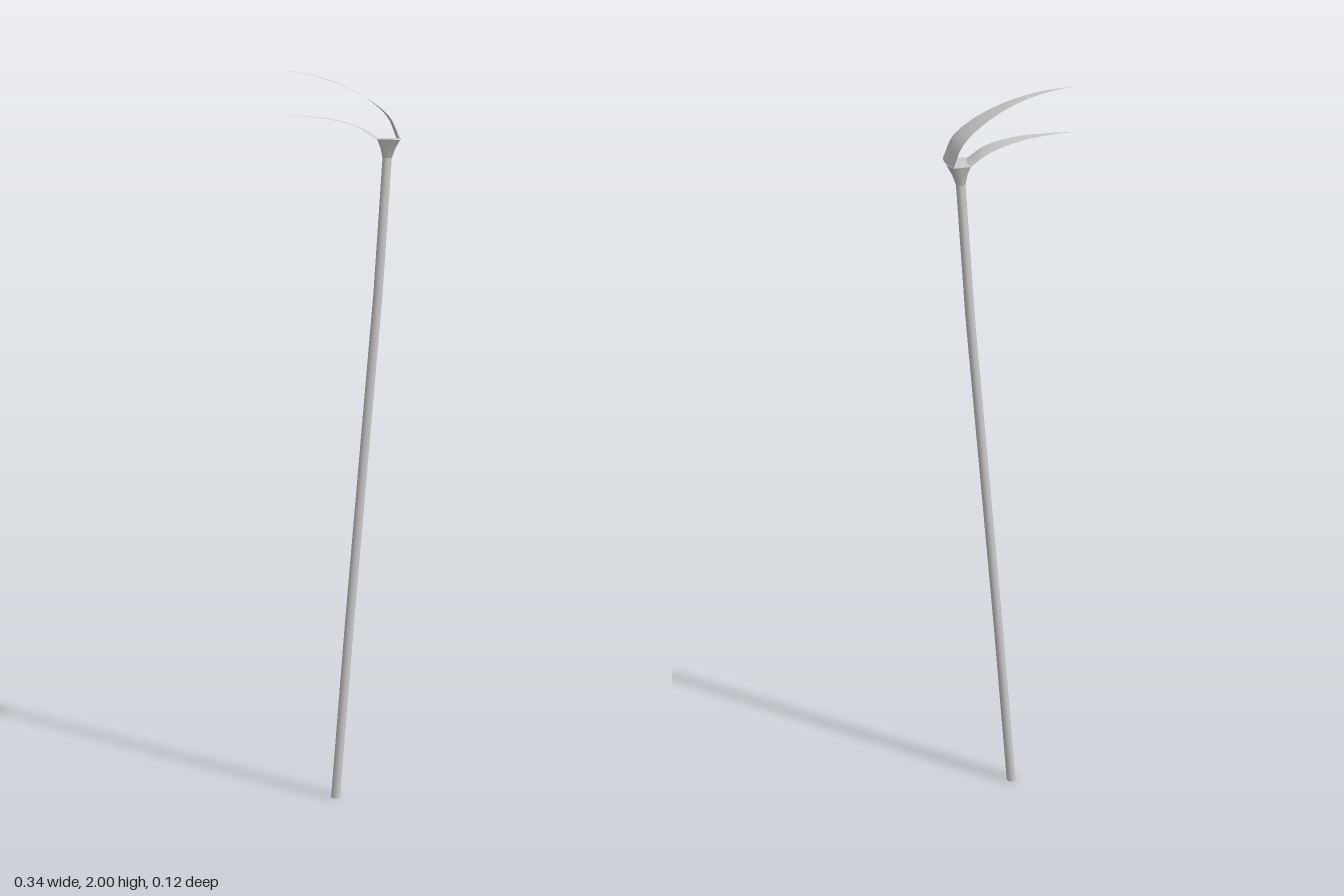
import * as THREE from 'three';

const material = new THREE.MeshStandardMaterial({ color: 0xcccccc, side: THREE.DoubleSide });

// Smooth skin through rows of points that all have the same length
function skin(name, rows) {
  const n = rows[0].length;
  const index = [];
  for (let i = 0; i < rows.length - 1; i++) {
    for (let j = 0; j < n - 1; j++) {
      const a = i * n + j, b = a + 1, c = a + n, d = c + 1;
      index.push(a, c, b, b, c, d);
    }
  }
  const geometry = new THREE.BufferGeometry().setFromPoints(rows.flat());
  geometry.setIndex(index);
  geometry.computeVertexNormals();
  const mesh = new THREE.Mesh(geometry, material);
  mesh.name = name;
  return mesh;
}

const curve = (points) => new THREE.CatmullRomCurve3(points.map((p) => new THREE.Vector3(...p)));

// Blade: a curved sheet between its front and back edges, meeting at the tip
function blade(name, front, back) {
  const f = curve(front).getPoints(24);
  const b = curve(back).getPoints(24);
  const bulge = 0.007;
  const rows = f.map((p, i) => {
    const row = [];
    for (let j = 0; j <= 6; j++) {
      const q = p.clone().lerp(b[i], j / 6);
      q.x += bulge * Math.sin((Math.PI * j) / 6) * (i / 24) ** 2;
      row.push(q);
    }
    return row;
  });
  return skin(name, rows);
}

// Horizontal ring of the shaft
function ring(x, y, z, r, sides = 8) {
  const points = [];
  for (let i = 0; i <= sides; i++) {
    const a = (-i / sides) * Math.PI * 2;
    points.push(new THREE.Vector3(x + r * Math.cos(a), y, z + r * Math.sin(a)));
  }
  return points;
}

// Flat polygon in the horizontal plane at height y
function plate(name, corners, y) {
  const geometry = new THREE.ShapeGeometry(new THREE.Shape(corners.map(([x, z]) => new THREE.Vector2(x, -z))));
  geometry.rotateX(-Math.PI / 2).translate(0, y, 0);
  const mesh = new THREE.Mesh(geometry, material);
  mesh.name = name;
  return mesh;
}

export function createModel() {
  const group = new THREE.Group();
  group.name = 'longHandledPick';

  // Slender leaning shaft with a closed foot
  const shaft = [[-0.005, 0, 0.014], [0.033, 0.5, 0.004], [0.074, 1, -0.006], [0.107, 1.4, -0.014], [0.13, 1.765, -0.022]];
  group.add(skin('shaft', shaft.map(([x, y, z]) => ring(x, y, z, 0.0125))));
  group.add(plate('shaftFoot', ring(-0.005, 0, 0.014, 0.0125).slice(0, 8).map((p) => [p.x, p.z]), 0));

  // Collar flaring from the round shaft to the four-sided socket under the blades
  const socket = [[0.167, -0.022], [0.152, -0.057], [0.13, -0.05], [0.105, -0.043],
    [0.104, -0.022], [0.105, 0.005], [0.135, 0.005], [0.168, 0.005], [0.167, -0.022]];
  const top = socket.map(([x, z]) => new THREE.Vector3(x, 1.817, z));
  const base = ring(0.13, 1.765, -0.022, 0.0125);
  const middle = base.map((p, i) => p.clone().lerp(top[i], 0.42).setY(1.792));
  group.add(skin('collar', [base, middle, top]));

  // Floor joining the roots of both blades
  group.add(plate('bladeFloor', [[0.106, 0.058], [0.171, 0.058], [0.167, 0], [0.152, -0.058], [0.105, -0.043]], 1.817));

  // Upper and lower blades, each tapering to a point
  group.add(blade('upperBlade',
    [[-0.171, 2, 0.058], [-0.09, 1.99, 0.058], [0, 1.965, 0.058], [0.09, 1.921, 0.058], [0.145, 1.875, 0.058], [0.171, 1.817, 0.058]],
    [[-0.171, 2, 0.058], [-0.09, 1.99, 0.028], [0, 1.963, -0.005], [0.08, 1.918, -0.035], [0.127, 1.873, -0.052], [0.151, 1.817, -0.059]]));
  group.add(blade('lowerBlade',
    [[-0.171, 1.879, 0.058], [-0.11, 1.878, 0.058], [-0.02, 1.87, 0.058], [0.06, 1.848, 0.058], [0.106, 1.817, 0.058]],
    [[-0.171, 1.879, 0.058], [-0.11, 1.878, 0.036], [-0.02, 1.869, 0.002], [0.06, 1.845, -0.027], [0.105, 1.817, -0.043]]));

  return group;
}
